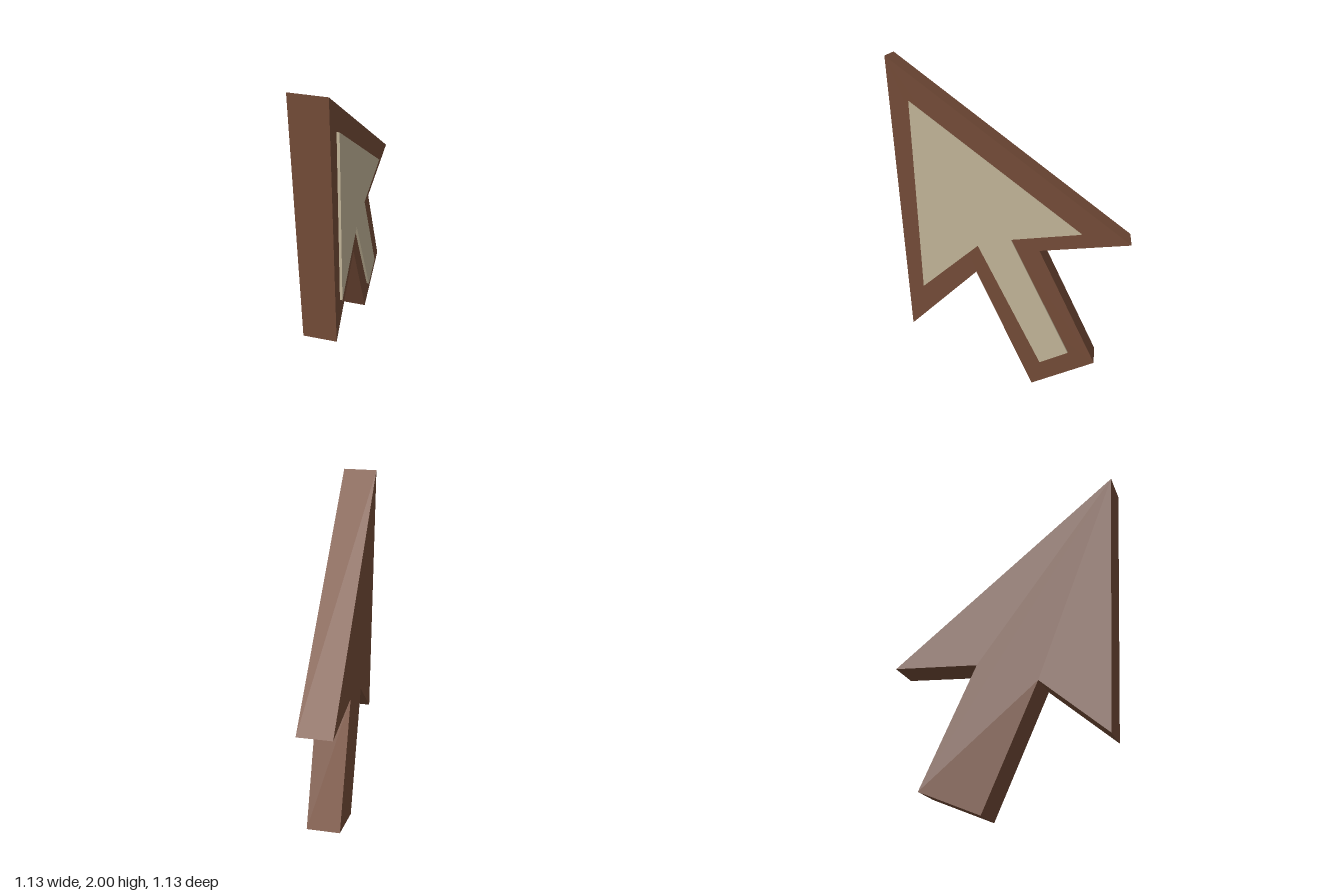
import * as THREE from 'three';

// Extrudes a flat outline from depth z0 to z1
function slab(name, points, z0, z1, material) {
  const shape = new THREE.Shape(points.map(([x, y]) => new THREE.Vector2(x, y)));
  const geometry = new THREE.ExtrudeGeometry(shape, { depth: z1 - z0, bevelEnabled: false });
  geometry.translate(0, 0, z0);
  const mesh = new THREE.Mesh(geometry, material);
  mesh.name = name;
  return mesh;
}

export function createModel() {
  const brown = new THREE.MeshStandardMaterial({ color: 0x794f3a });
  brown.name = 'brown';
  const beige = new THREE.MeshStandardMaterial({ color: 0xcbbd9f });
  beige.name = 'beige';

  // Outlines run counter-clockwise from the tip
  const bodyOutline = [
    [-0.70, 2.0], [-0.608, 0.38], [-0.209, 0.737], [0.127, 0],
    [0.509, 0.163], [0.167, 0.885], [0.70, 0.94],
  ];
  const inlayOutline = [
    [-0.574, 1.752], [-0.53, 0.635], [-0.196, 0.908], [0.177, 0.155],
    [0.347, 0.23], [0, 0.953], [0.41, 1.0],
  ];

  const model = new THREE.Group();
  model.name = 'cursorArrow';
  model.add(slab('arrowBody', bodyOutline, -0.1, 0.1, brown));
  // Raised inlay on the front face
  model.add(slab('arrowInlay', inlayOutline, 0.098, 0.115, beige));

  // The slab stands turned diagonally
  model.rotation.y = Math.PI / 4;
  const root = new THREE.Group();
  root.name = 'pointer';
  root.add(model);
  return root;
}
